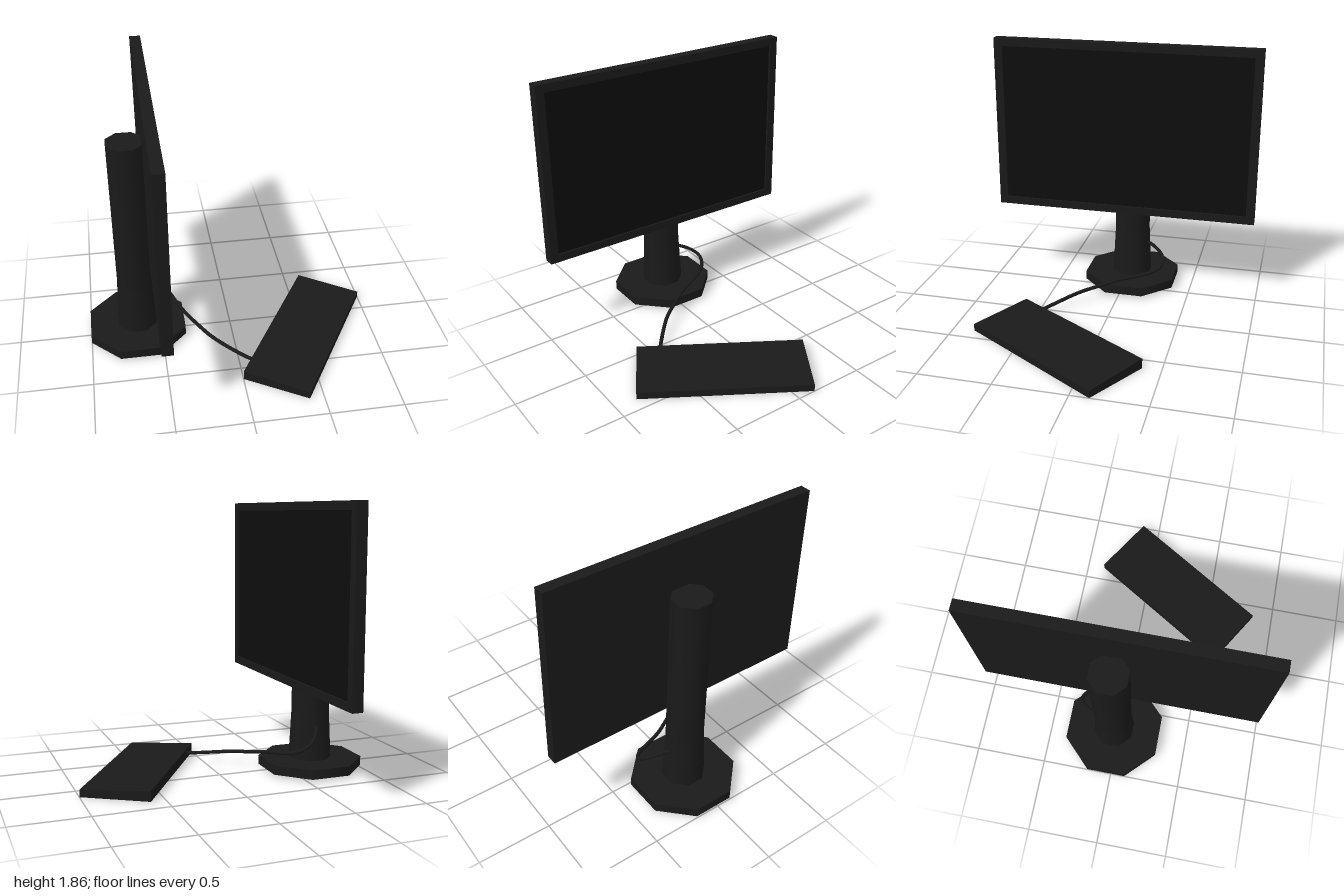
import * as THREE from 'three';

const dark = new THREE.MeshStandardMaterial({ color: 0x1a1a1a });
const black = new THREE.MeshStandardMaterial({ color: 0x0d0d0d });

// Rectangle outline, centred on the origin
function rectangle(path, w, h) {
  path.moveTo(-w / 2, -h / 2);
  path.lineTo(w / 2, -h / 2);
  path.lineTo(w / 2, h / 2);
  path.lineTo(-w / 2, h / 2);
  path.closePath();
  return path;
}

// Eight-sided prism; sizes are distances from the axis to the flats
function octagon(name, topFlat, bottomFlat, y0, y1) {
  const k = 1 / Math.cos(Math.PI / 8);
  const geometry = new THREE.CylinderGeometry(topFlat * k, bottomFlat * k, y1 - y0, 8);
  geometry.rotateY(Math.PI / 8);
  const mesh = new THREE.Mesh(geometry, dark);
  mesh.name = name;
  mesh.position.y = (y0 + y1) / 2;
  return mesh;
}

export function createModel() {
  const model = new THREE.Group();
  model.name = 'monitorWithKeyboard';

  // Stand: base plate, flared foot and straight column
  const stand = new THREE.Group();
  stand.name = 'stand';
  stand.position.set(-0.667, 0, -0.036);
  stand.add(
    octagon('base', 0.333, 0.333, 0.015, 0.08),
    octagon('columnFoot', 0.121, 0.137, 0.08, 0.43),
    octagon('column', 0.121, 0.121, 0.43, 1.53)
  );
  model.add(stand);

  // Monitor, built facing +z and turned to face +x
  const monitor = new THREE.Group();
  monitor.name = 'monitor';
  monitor.position.set(-0.56, 1.232, 0);
  monitor.rotation.y = Math.PI / 2;
  const thickness = 0.075, recess = 0.015;

  const housing = new THREE.Mesh(new THREE.BoxGeometry(1.91, 1.256, thickness - recess), dark);
  housing.name = 'housing';
  housing.position.z = (thickness - recess) / 2;

  const outline = rectangle(new THREE.Shape(), 1.91, 1.256);
  outline.holes.push(rectangle(new THREE.Path(), 1.79, 1.145));
  const bezel = new THREE.Mesh(
    new THREE.ExtrudeGeometry(outline, { depth: recess, bevelEnabled: false }), dark);
  bezel.name = 'bezel';
  bezel.position.z = thickness - recess;

  const screen = new THREE.Mesh(new THREE.PlaneGeometry(1.79, 1.145), black);
  screen.name = 'screen';
  screen.position.z = thickness - recess + 0.001;
  monitor.add(housing, bezel, screen);
  model.add(monitor);

  // Keyboard: a wedge, lower along its front edge
  const wedge = new THREE.BoxGeometry(1.146, 0.07, 0.47);
  wedge.translate(0, 0.035, 0);
  const p = wedge.attributes.position;
  for (let i = 0; i < p.count; i++) {
    if (p.getY(i) > 0.01 && p.getZ(i) > 0) p.setY(i, 0.05);
  }
  wedge.computeVertexNormals();
  const keyboard = new THREE.Mesh(wedge, dark);
  keyboard.name = 'keyboard';
  keyboard.position.set(0.5, 0, 0.239);
  keyboard.rotation.y = Math.atan2(0.978, 0.597);
  model.add(keyboard);

  // Cable from the column, round the stand and down to the keyboard
  const path = new THREE.CatmullRomCurve3([
    [-0.667, 0.325, -0.13], [-0.64, 0.31, -0.19], [-0.595, 0.275, -0.26],
    [-0.54, 0.235, -0.298], [-0.48, 0.195, -0.28], [-0.43, 0.17, -0.22],
    [-0.385, 0.15, -0.12], [-0.33, 0.132, 0], [-0.26, 0.11, 0.11],
    [-0.16, 0.085, 0.25], [0, 0.052, 0.4], [0.12, 0.035, 0.495]
  ].map(a => new THREE.Vector3(...a)));
  const cable = new THREE.Mesh(new THREE.TubeGeometry(path, 48, 0.013, 8), dark);
  cable.name = 'cable';
  model.add(cable);

  return model;
}
